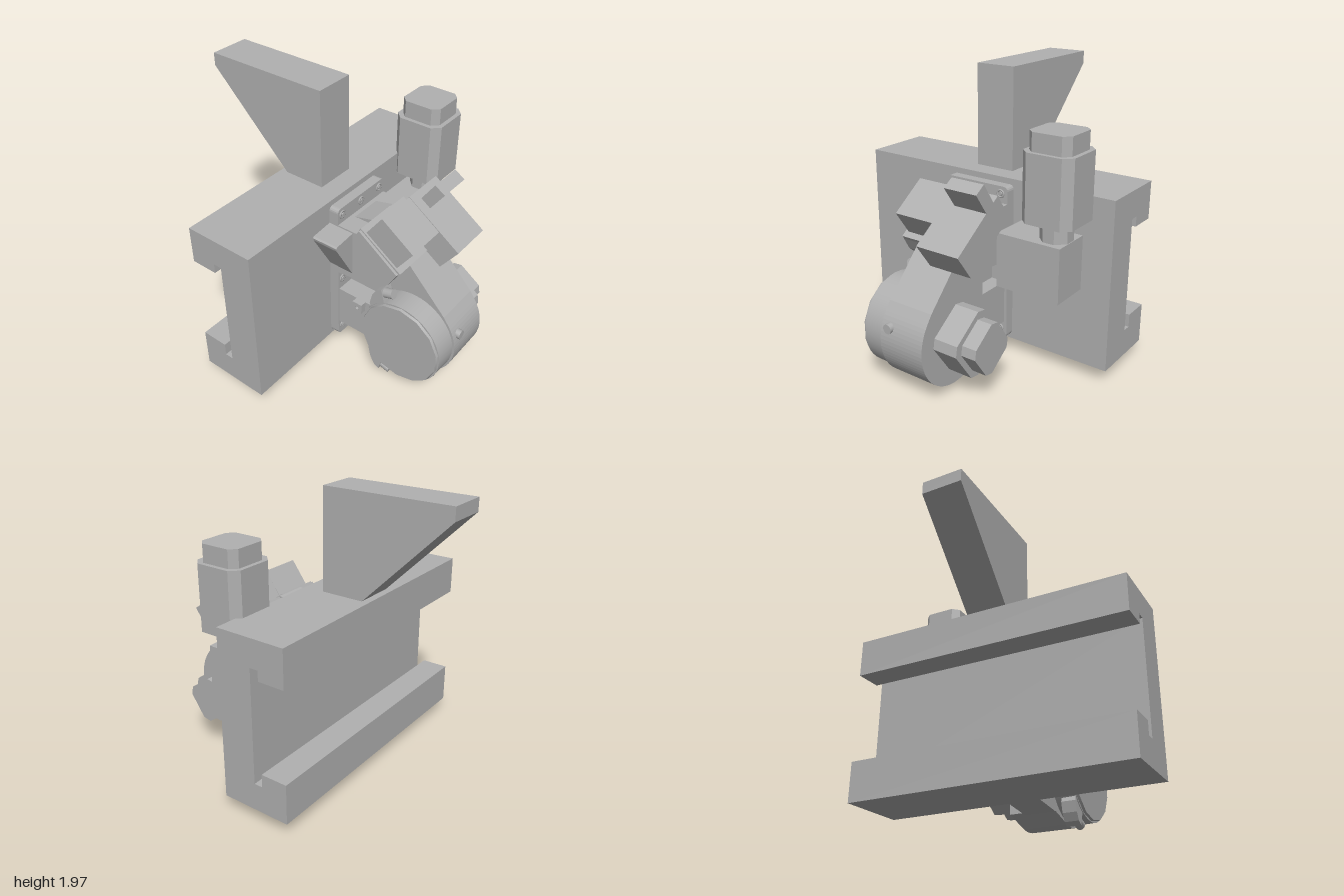
import * as THREE from 'three';

export function createModel() {
  const model = new THREE.Group();
  const grey = new THREE.MeshStandardMaterial({ color: 0xb0b0b0 });
  grey.name = 'machine grey';

  const add = (name, geometry) => {
    const mesh = new THREE.Mesh(geometry, grey);
    mesh.name = name;
    model.add(mesh);
    return mesh;
  };
  const box = (name, x0, x1, y0, y1, z0, z1) =>
    add(name, new THREE.BoxGeometry(x1 - x0, y1 - y0, z1 - z0)
      .translate((x0 + x1) / 2, (y0 + y1) / 2, (z0 + z1) / 2));
  const poly = (pts) => new THREE.Shape(pts.map(([x, y]) => new THREE.Vector2(x, y)));
  const extrude = (pts, z0, z1) =>
    new THREE.ExtrudeGeometry(poly(pts), { depth: z1 - z0, bevelEnabled: false }).translate(0, 0, z0);
  // Profile given as (z, y), extruded along x
  const extrudeX = (pts, x0, x1) => extrude(pts, -x1, -x0).rotateY(-Math.PI / 2);
  // Points along an arc, angles in degrees
  const arc = (cx, cy, r, a0, a1, n) => Array.from({ length: n + 1 }, (_, i) => {
    const a = THREE.MathUtils.degToRad(a0 + (a1 - a0) * i / n);
    return [cx + r * Math.cos(a), cy + r * Math.sin(a)];
  });
  // Square with cut corners, centred on the origin
  const cutSquare = (h, c) => [[h, c - h], [h, h - c], [h - c, h], [c - h, h],
    [-h, h - c], [-h, c - h], [c - h, -h], [h - c, -h]];
  const rounded = (x0, x1, y0, y1, r) => [
    ...arc(x1 - r, y0 + r, r, -90, 0, 4), ...arc(x1 - r, y1 - r, r, 0, 90, 4),
    ...arc(x0 + r, y1 - r, r, 90, 180, 4), ...arc(x0 + r, y0 + r, r, 180, 270, 4)];

  // Beam with a slotted back
  add('beam', extrude([[-0.44, 1.27], [-0.44, 1.01], [-0.25, 1.01], [-0.25, 1.08], [-0.19, 1.08],
    [-0.19, 0.29], [-0.25, 0.29], [-0.25, 0.38], [-0.44, 0.38], [-0.44, 0.1],
    [0.06, 0.1], [0.06, 1.27]], -0.99, 0.99));
  add('topBracket', extrude([[-1, 1.97], [-1, 1.88], [-0.39, 1.27], [-0.085, 1.27], [-0.085, 1.97]],
    -0.145, 0.145));

  // Upright motor on its side block
  box('motorBlock', 0.06, 0.34, 0.63, 1.0, -0.78, -0.32);
  [['motorNeck', 0.1, 0.06, 1.0, 1.125], ['uprightMotor', 0.177, 0.055, 1.125, 1.57],
    ['uprightMotorCap', 0.147, 0.045, 1.57, 1.69]].forEach(([name, h, c, y0, y1]) =>
    add(name, extrude(cutSquare(h, c), y0, y1).rotateX(-Math.PI / 2).translate(0.203, 0, -0.675)));

  // Mounting plate and its bolts
  add('mountingPlate', extrudeX(rounded(-0.255, 0.245, 0.13, 1.23, 0.03), 0.06, 0.13));
  const bolt = (y, z) => {
    add('plateBolt', new THREE.TorusGeometry(0.024, 0.007, 6, 16).rotateY(Math.PI / 2).translate(0.131, y, z));
    add('plateBoltHead', new THREE.CylinderGeometry(0.014, 0.014, 0.012, 12).rotateZ(Math.PI / 2)
      .translate(0.135, y, z));
  };
  for (const z of [-0.2, 0.2]) for (const y of [0.2, 0.64, 1.18]) bolt(y, z);
  bolt(1.18, 0);

  // Gear housing: drum blended into a sloping neck
  const cx = 0.66, cy = 0.385;
  add('housingDrum', extrude([[0.38, 0.12], ...arc(cx, cy, 0.33, -110, 35, 32),
    [0.89, 0.63], [0.6, 0.93], [0.38, 0.85]], -0.235, 0.1));
  add('housingWeb', extrude([[0.1, 0.14], [0.4, 0.11], [0.55, 0.3], [0.6, 0.93], [0.3, 1.15], [0.1, 1.1]],
    -0.13, 0.1));
  add('upperHousing', extrude([[0.06, 0.71], [0.13, 0.715], [0.4, 0.75], [0.48, 0.775], [0.54, 0.825],
    [0.6, 0.93], [0.3, 1.145], [0.28, 1.115], [0.06, 1.115]], -0.255, 0.245));
  add('middleRib', extrude([[0.06, 0.255], [0.42, 0.255], [0.44, 0.4], [0.42, 0.56], [0.06, 0.56]],
    -0.235, 0.235));

  // Small drilled lug on the rib
  const lug = poly([[0.28, 0.485], [0.355, 0.485], [0.355, 0.56], [0.28, 0.56]]);
  lug.holes.push(new THREE.Path().absarc(0.318, 0.52, 0.013, 0, Math.PI * 2, true));
  add('drilledLug', new THREE.ExtrudeGeometry(lug, { depth: 0.08, bevelEnabled: false, curveSegments: 6 })
    .translate(0, 0, 0.2));

  // Front cover: rim, and a many-sided lid
  add('coverRim', new THREE.CylinderGeometry(0.31, 0.315, 0.155, 40).rotateX(Math.PI / 2)
    .translate(cx, cy, 0.1775));
  add('coverLid', new THREE.CylinderGeometry(0.3, 0.305, 0.02, 14).rotateX(Math.PI / 2)
    .translate(cx, cy, 0.263));

  // Clamps above and below the cover
  for (const s of [1, -1]) {
    const outer = [...arc(cx, cy, 0.295, 146, 118, 6), [0.49, cy + 0.37], [0.45, cy + 0.345],
      [0.42, cy + 0.29], [0.402, cy + 0.215]].map(([x, y]) => [x, cy + s * (y - cy)]);
    add('coverClamp', extrude(outer, 0.145, 0.25));
    add('clampBolt', new THREE.CylinderGeometry(0.034, 0.034, 0.085, 14)
      .rotateZ(-Math.PI / 2 + s * 0.3).translate(0.527, cy + s * 0.338, 0.212));
  }
  add('sideKnob', new THREE.CylinderGeometry(0.032, 0.032, 0.05, 16).rotateZ(Math.PI / 2)
    .translate(0.972, 0.49, 0.035));

  // Rear motor, turned to follow the slope
  [['rearMotor', 0.178, 0.05, -0.41, -0.23], ['rearMotorCap', 0.14, 0.045, -0.515, -0.41]]
    .forEach(([name, h, c, z0, z1]) =>
      add(name, extrude(cutSquare(h, c), z0, z1).rotateZ(-0.61).translate(cx, cy, 0)));

  // Sloping blocks on the upper housing
  add('slopeFlange', extrude([[0.285, 1.135], [0.6, 0.915], [0.614, 0.936], [0.299, 1.155]], -0.1, 0.225));
  add('slopeBlockFront', extrude([[0.45, 1.29], [0.33, 1.125], [0.57, 0.95], [0.69, 1.12]], -0.09, 0.21));
  add('slopeBlockRear', extrude([[0.45, 1.293], [0.33, 1.12], [0.72, 0.85], [0.843, 1.02]], -0.405, -0.09));
  add('slopeStub', extrude([[0.59, 1.4], [0.48, 1.24], [0.55, 1.19], [0.665, 1.352]], -0.405, -0.165));

  // Wedge on the front of the upper housing
  add('frontWedge', extrudeX([[0.24, 0.76], [0.41, 1.06], [0.415, 1.08], [0.405, 1.09], [0.24, 1.105]],
    0.06, 0.25));

  return model;
}
